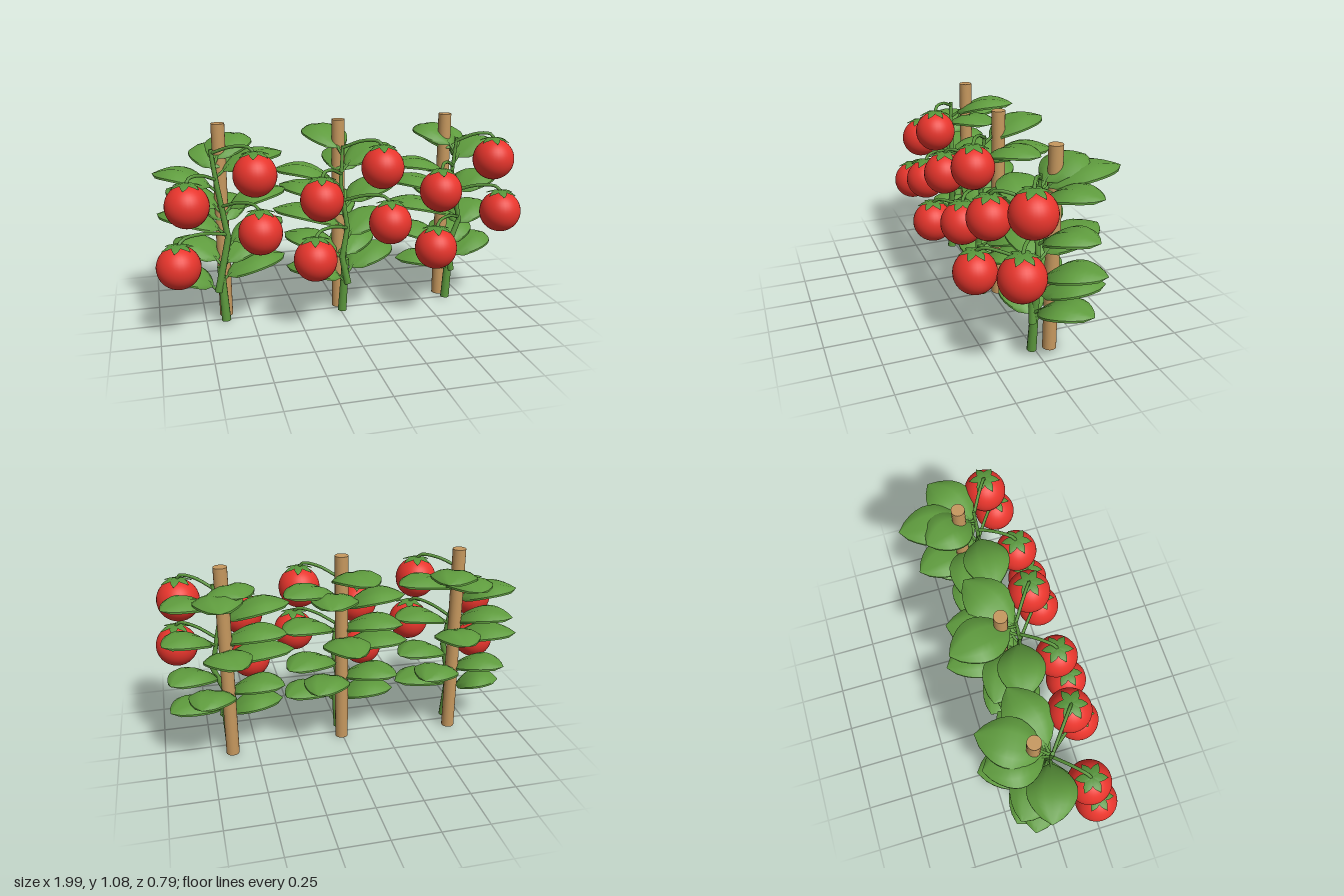
import * as THREE from 'three';
import { toCreasedNormals } from 'three/addons/utils/BufferGeometryUtils.js';

const V = (x, y, z) => new THREE.Vector3(x, y, z);
const UP = V(0, 1, 0);
const mat = (name, color) => Object.assign(new THREE.MeshStandardMaterial({ color }), { name });

const FRUIT_R = 0.113;

// Skin of quads over rows of points; each row is a loop (closed) or a strip
function loft(rows, closed) {
  const n = rows[0].length, pos = [], idx = [];
  rows.forEach(r => r.forEach(p => pos.push(p.x, p.y, p.z)));
  for (let i = 0; i < rows.length - 1; i++) {
    for (let k = 0; k < (closed ? n : n - 1); k++) {
      const a = i * n + k, b = i * n + (k + 1) % n;
      idx.push(a, b, a + n, b, b + n, a + n);
    }
  }
  const g = new THREE.BufferGeometry();
  g.setAttribute('position', new THREE.Float32BufferAttribute(pos, 3));
  g.setIndex(idx);
  return g;
}

// Arched midline of a leaf, from the stem to the tip
function midline(base, tip, t) {
  const p = base.clone().lerp(tip, t);
  p.y += 0.07 * Math.sin(Math.PI * t);
  return p;
}

// Thick pointed blade, folded along the midrib and drooping at the edges
function bladeGeometry(base, tip) {
  const dir = tip.clone().sub(base).setY(0).normalize();
  const side = dir.clone().cross(UP);
  const rows = [], across = [-1, -0.66, -0.33, 0, 0.33, 0.66, 1];
  const ROWS = 10;
  for (let i = 0; i <= ROWS; i++) {
    const u = i / ROWS;
    const half = 0.124 * Math.pow(Math.sin(Math.PI * Math.pow(u, 0.95)), 0.75) + 0.001;
    const c = midline(base, tip, 0.1 + 0.9 * u);
    const point = (v, drop) => {
      const p = c.clone().addScaledVector(side, half * v);
      p.y += half * (0.3 * Math.abs(v) - 0.55 * v * v) - drop;
      return p;
    };
    const thick = 0.011 * Math.min(1, half / 0.04);
    rows.push([...across.map(v => point(v, 0)), ...across.slice().reverse().map(v => point(v, thick))]);
  }
  return toCreasedNormals(loft(rows, true), 0.7);
}

// One sepal draped over the top of a fruit
function sepalGeometry(angle) {
  const rows = [];
  for (let i = 0; i <= 6; i++) {
    const u = i / 6, polar = 0.03 + 0.68 * u;
    const half = 0.021 * Math.sin(Math.PI * (0.1 + 0.9 * u)) + 0.0005;
    const r = FRUIT_R + 0.005 + 0.008 * u * u;
    rows.push([-1, 0, 1].map(v => {
      const flat = V(r * Math.sin(polar), r * Math.cos(polar) + (v ? 0 : 0.004), half * v);
      return flat.applyAxisAngle(UP, angle);
    }));
  }
  const g = loft(rows, false);
  g.computeVertexNormals();
  return g;
}

// Leaf tips relative to the plant before it is turned: x offset, z, height
const LEAVES = [
  [-0.29, -0.08, 0.27], [0.34, -0.08, 0.33],
  [-0.25, -0.22, 0.42], [0.22, -0.25, 0.4],
  [0.34, -0.15, 0.52], [-0.34, -0.15, 0.59],
  [0.03, -0.35, 0.63], [0.35, -0.08, 0.71],
  [-0.28, -0.21, 0.71], [-0.35, -0.08, 0.83],
  [0.34, -0.1, 0.91],
];

// turn about the upright, stake z, lower stem x/z, upper stem points, fruit centres, crown leaf tips
const PLANTS = [
  { x: -0.635, turn: 0, stakeZ: -0.07, foot: [-0.645, 0.035],
    stem: [[-0.68, 0.18, 0.035], [-0.615, 0.48, 0.025], [-0.66, 0.76, 0.02], [-0.685, 0.96, 0.01]],
    fruit: [[-0.48, 0.85, 0.17], [-0.825, 0.71, 0.17], [-0.47, 0.565, 0.24], [-0.885, 0.41, 0.22]],
    crown: [[-0.66, 0.92, -0.33], [-0.49, 0.97, -0.32]] },
  { x: 0.005, turn: 0.14, stakeZ: -0.04, foot: [0.005, 0.055],
    stem: [[0.03, 0.18, 0.085], [0.0, 0.33, 0.075], [0.03, 0.5, 0.07], [-0.005, 0.75, 0.06], [0.01, 0.95, 0.04]],
    fruit: [[0.195, 0.85, 0.17], [-0.145, 0.71, 0.22], [0.22, 0.565, 0.24], [-0.195, 0.41, 0.28]],
    crown: [[-0.09, 1.0, -0.33], [0.12, 0.88, -0.3]] },
  { x: 0.635, turn: 0.24, stakeZ: -0.08, foot: [0.64, 0.02],
    stem: [[0.665, 0.18, 0.03], [0.645, 0.33, 0.025], [0.705, 0.48, 0.02], [0.65, 0.76, 0.02], [0.675, 0.96, 0.01]],
    fruit: [[0.85, 0.85, 0.12], [0.515, 0.71, 0.2], [0.88, 0.565, 0.18], [0.475, 0.41, 0.26]],
    crown: [[0.67, 0.955, -0.4], [0.54, 0.98, -0.28]] },
];

export function createModel() {
  const model = new THREE.Group();
  model.name = 'stakedTomatoRow';
  const wood = mat('stakeWood', 0xc6985e);
  const stemGreen = mat('stemGreen', 0x5b973c);
  const leafGreen = mat('leafGreen', 0x5f9c3e);
  const calyxGreen = mat('calyxGreen', 0x57953b);
  calyxGreen.side = THREE.DoubleSide;
  const red = mat('fruitRed', 0xe8352c);

  const add = (parent, name, geo, material, at) => {
    const m = new THREE.Mesh(geo, material);
    m.name = name;
    if (at) m.position.copy(at);
    parent.add(m);
    return m;
  };
  // Straight round piece between two points
  const rod = (parent, name, a, b, r0, r1, material) => {
    const d = b.clone().sub(a);
    const m = add(parent, name, new THREE.CylinderGeometry(r1, r0, d.length(), 12), material,
      a.clone().add(b).multiplyScalar(0.5));
    m.quaternion.setFromUnitVectors(UP, d.normalize());
  };
  const tube = (parent, name, points, r) =>
    add(parent, name, new THREE.TubeGeometry(new THREE.CatmullRomCurve3(points), 12, r, 7), stemGreen);

  for (const plant of PLANTS) {
    const group = new THREE.Group();
    group.name = 'tomatoPlant';
    model.add(group);

    // Stake and stem
    add(group, 'stake', new THREE.CylinderGeometry(0.036, 0.036, 1.08, 20), wood, V(plant.x, 0.54, plant.stakeZ));
    const stem = plant.stem.map(p => V(...p));
    const joint = stem[0].clone().lerp(stem[1], 0.3);
    rod(group, 'lowerStem', V(plant.foot[0], 0.01, plant.foot[1]), V(joint.x, 0.32, joint.z - 0.015), 0.025, 0.02, stemGreen);
    for (let i = 0; i < stem.length - 1; i++) {
      const r = 0.02 - 0.003 * i;
      rod(group, 'upperStem', stem[i], stem[i + 1], r, r - 0.003, stemGreen);
      if (i) add(group, 'stemJoint', new THREE.SphereGeometry(r, 12, 8), stemGreen, stem[i]);
    }
    const stemAt = y => {
      let i = 0;
      while (i < stem.length - 2 && y > stem[i + 1].y) i++;
      const t = THREE.MathUtils.clamp((y - stem[i].y) / (stem[i + 1].y - stem[i].y), 0, 1);
      return stem[i].clone().lerp(stem[i + 1], t);
    };

    // Leaves with their stalks
    const tips = LEAVES.map(([dx, z, y]) => V(dx, y, z).applyAxisAngle(UP, plant.turn).add(V(plant.x, 0, 0)))
      .concat(plant.crown.map(p => V(...p)));
    for (const tip of tips) {
      const base = stemAt(tip.y - 0.1);
      add(group, 'leaf', bladeGeometry(base, tip), leafGreen);
      const stalk = [0, 0.1, 0.2, 0.3].map((t, i) => midline(base, tip, t).add(V(0, -0.004 * i, 0)));
      tube(group, 'leafStalk', stalk, 0.008);
    }

    // Fruit, each with a star of sepals and an arching stalk
    for (const c of plant.fruit) {
      const centre = V(...c);
      add(group, 'fruit', new THREE.SphereGeometry(FRUIT_R, 32, 24), red, centre);
      for (let k = 0; k < 6; k++) {
        add(group, 'sepal', sepalGeometry(k * Math.PI / 3 + 0.3), calyxGreen, centre);
      }
      const top = centre.clone().add(V(0, FRUIT_R - 0.005, 0));
      const root = stemAt(centre.y + 0.09);
      const mid = root.clone().lerp(top, 0.5).setY(centre.y + 0.135);
      const bend = root.clone().lerp(top, 0.9).setY(centre.y + 0.138);
      tube(group, 'fruitStalk', [root, mid, bend, top], 0.009);
    }
  }
  return model;
}
